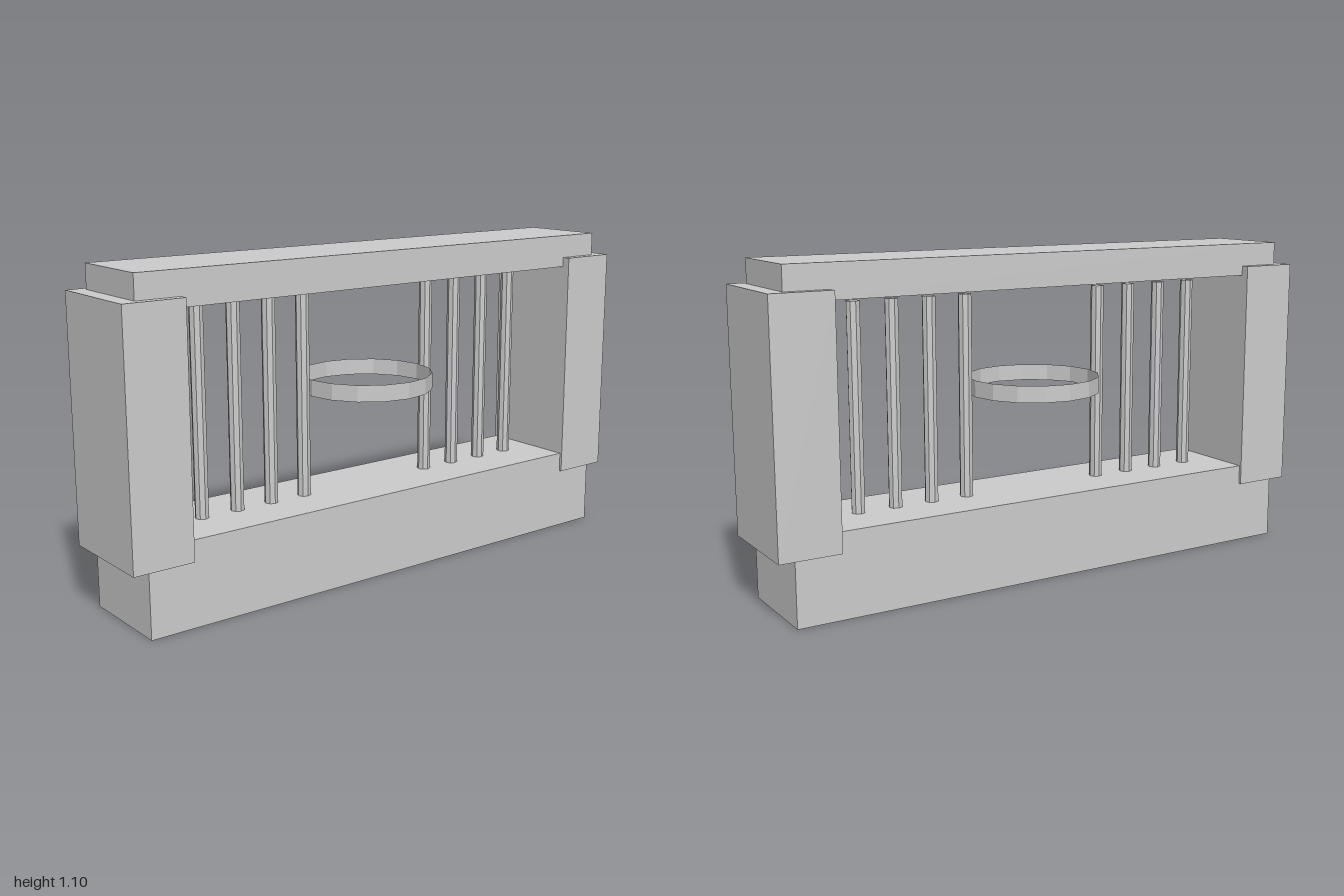
import * as THREE from 'three';

export function createModel() {
  const model = new THREE.Group();
  const grey = new THREE.MeshStandardMaterial({ color: 0xcccccc });
  grey.name = 'lightGrey';
  grey.flatShading = true;
  grey.side = THREE.DoubleSide;

  const add = (name, geometry, x, y, z = 0) => {
    const mesh = new THREE.Mesh(geometry, grey);
    mesh.name = name;
    mesh.position.set(x, y, z);
    model.add(mesh);
    return mesh;
  };

  // Frame: base block and top beam
  add('base', new THREE.BoxGeometry(1.89, 0.283, 0.34), 0, 0.1415);
  add('topBeam', new THREE.BoxGeometry(1.89, 0.113, 0.302), 0, 1.0405);

  // Side pillars and upright bars, mirrored left and right
  const pillar = new THREE.BoxGeometry(0.206, 0.802, 0.358);
  const bar = new THREE.CylinderGeometry(0.0227, 0.0227, 0.68, 8);
  for (const [side, s] of [['left', 1], ['right', -1]]) {
    add(side + 'Pillar', pillar, s * 0.897, 0.616);
    for (let i = 0; i < 4; i++) {
      add(side + 'Bar' + (i + 1), bar, s * (0.264 + i * 0.132), 0.623);
    }
  }

  // Thin open hoop in the middle
  add('hoop', new THREE.CylinderGeometry(0.227, 0.227, 0.056, 16, 1, true), 0, 0.643);

  return model;
}
